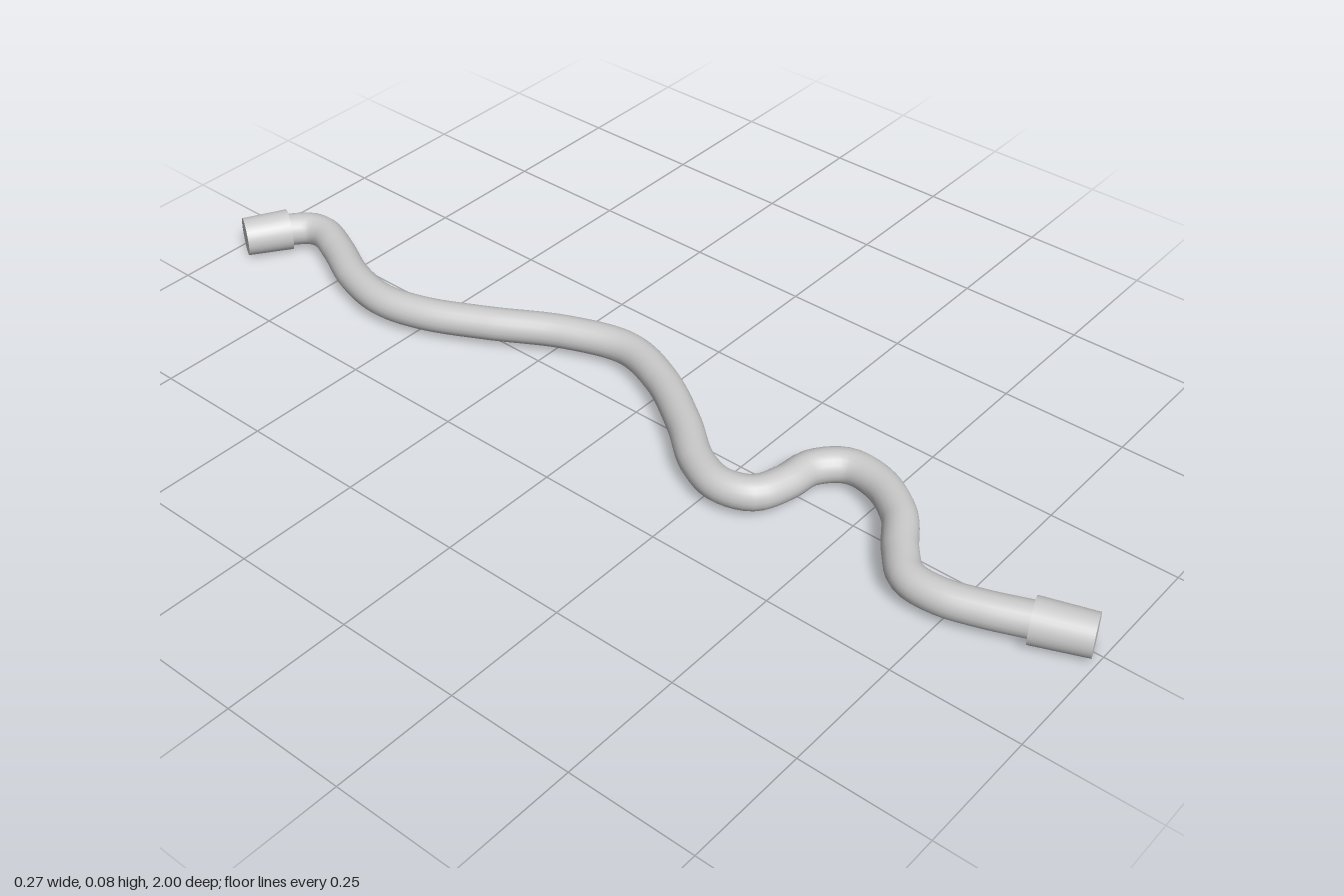
import * as THREE from 'three';

const HEIGHT = 0.043;      // height of the centre line
const HOSE_RADIUS = 0.033;

const material = new THREE.MeshStandardMaterial({ color: 0xcccccc });

// Centre line of the hose, as x and z, from the back end to the front end
const path = [
  [-0.075, -0.943], [-0.034, -0.915], [-0.005, -0.885], [0.0, -0.85],
  [-0.024, -0.786], [-0.071, -0.686], [-0.091, -0.586], [-0.071, -0.49],
  [-0.013, -0.37], [0.064, -0.232], [0.1, -0.106], [0.066, 0.005],
  [-0.008, 0.121], [-0.079, 0.211], [-0.103, 0.28], [-0.082, 0.341],
  [-0.024, 0.366], [0.04, 0.377], [0.087, 0.425], [0.082, 0.496],
  [0.034, 0.57], [-0.04, 0.623], [-0.087, 0.67], [-0.092, 0.733],
  [-0.071, 0.807], [-0.036, 0.893], [-0.02, 0.935],
].map(([x, z]) => new THREE.Vector3(x, HEIGHT, z));

// Solid end fitting with a slightly tapered tip, running from one point to another
function makeFitting(name, from, to) {
  const start = new THREE.Vector3(from[0], HEIGHT, from[1]);
  const axis = new THREE.Vector3(to[0], HEIGHT, to[1]).sub(start);
  const length = axis.length();
  const geometry = new THREE.CylinderGeometry(0.039, 0.042, length, 32);
  geometry.translate(0, length / 2, 0);
  const fitting = new THREE.Mesh(geometry, material);
  fitting.name = name;
  fitting.position.copy(start);
  fitting.quaternion.setFromUnitVectors(new THREE.Vector3(0, 1, 0), axis.normalize());
  return fitting;
}

export function createModel() {
  const model = new THREE.Group();
  model.name = 'bentHose';

  // Winding hose
  const curve = new THREE.CatmullRomCurve3(path, false, 'centripetal');
  const hose = new THREE.Mesh(new THREE.TubeGeometry(curve, 160, HOSE_RADIUS, 20), material);
  hose.name = 'hose';
  model.add(hose);

  // Fittings at both ends
  model.add(makeFitting('backFitting', [-0.037, -0.919], [-0.116, -0.967]));
  model.add(makeFitting('frontFitting', [-0.041, 0.884], [-0.004, 0.983]));

  return model;
}
